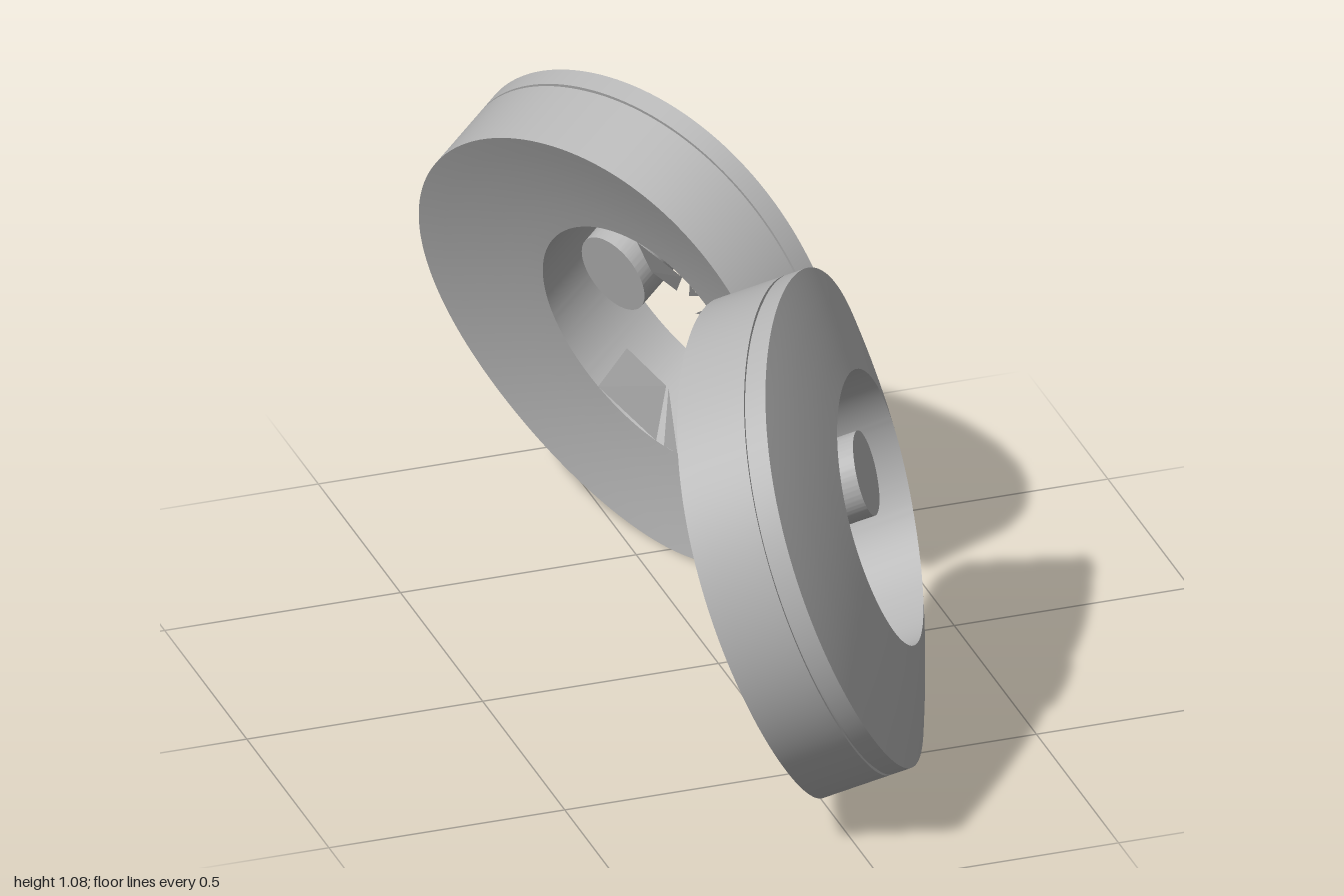
import * as THREE from 'three';
import { mergeGeometries, toCreasedNormals } from 'three/addons/utils/BufferGeometryUtils.js';

const SEG = 180;
const RIM = 0.452, HOLE = 0.25, DEPTH = 0.19;

// Slanted frame of one disc: thickness direction and the two directions of its plane
const axis = new THREE.Vector3(0.824, 0.445, 0.463);
const up = new THREE.Vector3(-0.285, 1.1, -0.133);
const side = new THREE.Vector3(-0.491, 0, 0.976);
const centre = new THREE.Vector3(0.068, 0.577, 0.548);
const holeShift = new THREE.Vector3(0.034, -0.016, -0.043);
const pegShift = new THREE.Vector3(-0.035, 0.099, 0.0165);

// Domed face, curved less along one diagonal so that the rim rises there
const dome = (r, t) =>
  0.45 * (RIM * RIM - r * r) + 0.042 * (Math.cos(t + 0.7) * r / RIM) ** 2;

// Point at radius r, angle t and height h over the rim plane, with an optional shift
function place(r, t, h, shift, amount = 0) {
  const p = centre.clone()
    .addScaledVector(axis, h)
    .addScaledVector(up, r * Math.cos(t))
    .addScaledVector(side, r * Math.sin(t));
  return shift ? p.addScaledVector(shift, amount) : p;
}

// Slide a point along the disc's plane out of the round notch between the discs
function clearNotch(p) {
  for (let i = 0; i < 5; i++) {
    const cy = 0.36 + 0.35 * (p.x - 0.13);
    const len = Math.hypot(p.z / 0.168, (p.y - cy) / 0.2);
    if (len >= 1) break;
    const dy = (p.y - cy) * (1 / len - 1), dz = p.z * (1 / len - 1);
    p.add(new THREE.Vector3(-0.32 * dy - 0.5 * dz, dy, dz));
  }
  return p;
}

// Closed band of quads: rows of points around the disc
function band(rows, point, mirror) {
  const pos = [], index = [];
  rows.forEach((row) => {
    for (let j = 0; j < SEG; j++) {
      const p = point(row, (j / SEG) * Math.PI * 2);
      pos.push(p.x, p.y, p.z * mirror);
    }
  });
  for (let i = 0; i < rows.length - 1; i++) {
    for (let j = 0; j < SEG; j++) {
      const k = (j + 1) % SEG;
      const a = i * SEG + j, b = a + SEG, c = (i + 1) * SEG + k, d = i * SEG + k;
      if (mirror > 0) index.push(a, b, c, a, c, d);
      else index.push(a, c, b, a, d, c);
    }
  }
  const g = new THREE.BufferGeometry();
  g.setAttribute('position', new THREE.Float32BufferAttribute(pos, 3));
  g.setIndex(index);
  return g;
}

// Ring with domed front, hollow back, grooved rim and off-centre hole
function ringGeometry(mirror) {
  const onFace = ([f, off], t) => {
    const r = HOLE + (RIM - HOLE) * f;
    return clearNotch(place(r, t, dome(r, t) + off, holeShift, 1 - f));
  };
  const onRim = ([off, inset], t) =>
    clearNotch(place(RIM - inset, t, dome(RIM, t) + off));
  const steps = [0, 0.2, 0.4, 0.6, 0.7, 0.8, 0.9, 1];
  const wall = [
    [0, 0], [-0.04, 0], [-0.04, 0.006], [-0.046, 0.006], [-0.046, 0],
    [-0.08, 0], [-0.115, 0], [-0.15, 0], [-DEPTH, 0],
  ];
  return toCreasedNormals(mergeGeometries([
    band(steps.map((f) => [f, 0]), onFace, mirror),
    band(wall, onRim, mirror),
    band(steps.map((f) => [1 - f, -DEPTH]), onFace, mirror),
    band([[0, -DEPTH], [0, 0]], onFace, mirror),
  ]), 0.6);
}

// Round peg standing in the hole, parallel to the disc axis
function pegGeometry(mirror) {
  const top = 0.085, bottom = -0.09, r = 0.077;
  const rows = [[0.0001, top], [r, top], [r, bottom], [0.0001, bottom]];
  const point = ([radius, h], t) => place(radius, t, h, pegShift, 1);
  return toCreasedNormals(band(rows, point, mirror), 0.6);
}

// Thin splinters on the back edge of the hole: angle, half width, length, tip half width
const splinters = {
  front: [
    [-0.3, 0.03, 0.11, 0], [-0.85, 0.06, 0.08, 0], [1.65, 0.05, 0.05, 0],
    [1.9, 0.09, 0.07, 0], [2.15, 0.05, 0.06, 0], [2.5, 0.06, 0.1, 0],
    [2.8, 0.09, 0.16, 0], [3.05, 0.05, 0.12, 0],
  ],
  back: [
    [-0.4, 0.22, 0.1, 0.2], [-0.95, 0.04, 0.1, 0], [-0.75, 0.05, 0.08, 0],
    [2.65, 0.3, 0.12, 0.4], [3.1, 0.07, 0.12, 0],
  ],
};

function splinterGeometry(mirror) {
  const pos = [];
  for (const [t, w, len, tip] of mirror > 0 ? splinters.front : splinters.back) {
    const edge = (r, a, lift) => place(r, a, dome(HOLE, a) - DEPTH + lift, holeShift, 1);
    const a = edge(HOLE, t - w, 0), b = edge(HOLE, t + w, 0);
    const c = edge(HOLE - len, t + tip, 0.03), d = edge(HOLE - len, t - tip, 0.03);
    const corners = tip > 0 ? [a, b, c, a, c, d] : [a, b, c];
    if (mirror < 0) corners.reverse();
    corners.forEach((p) => pos.push(p.x, p.y, p.z * mirror));
  }
  const g = new THREE.BufferGeometry();
  g.setAttribute('position', new THREE.Float32BufferAttribute(pos, 3));
  g.computeVertexNormals();
  return g;
}

export function createModel() {
  const model = new THREE.Group();
  model.name = 'pairOfDiscs';
  const grey = new THREE.MeshStandardMaterial({ color: 0xb4b4b4, side: THREE.DoubleSide });
  grey.name = 'grey';

  for (const mirror of [1, -1]) {
    const disc = new THREE.Group();
    disc.name = mirror > 0 ? 'frontDisc' : 'backDisc';
    const parts = {
      ring: ringGeometry(mirror),
      peg: pegGeometry(mirror),
      splinters: splinterGeometry(mirror),
    };
    for (const [name, geometry] of Object.entries(parts)) {
      const mesh = new THREE.Mesh(geometry, grey);
      mesh.name = name;
      disc.add(mesh);
    }
    model.add(disc);
  }
  return model;
}
